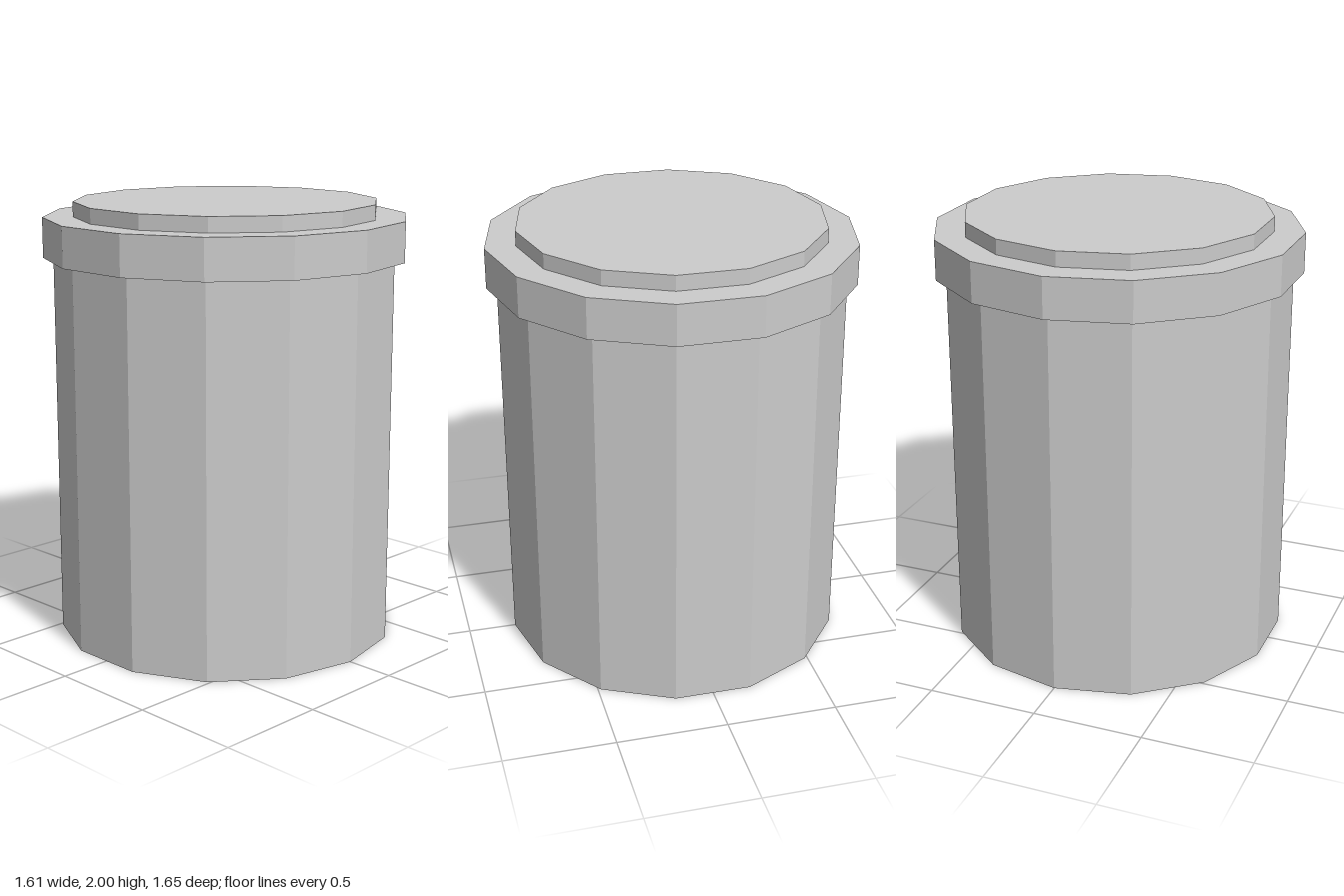
import * as THREE from 'three';

const SIDES = 14;

export function createModel() {
  const group = new THREE.Group();
  group.name = 'liddedCanister';
  const material = new THREE.MeshStandardMaterial({ color: 0xcccccc, flatShading: true });

  // Faceted drum between two heights, with a corner pointing to the front
  const addDrum = (name, radius, bottom, top) => {
    const geometry = new THREE.CylinderGeometry(radius, radius, top - bottom, SIDES);
    const mesh = new THREE.Mesh(geometry, material);
    mesh.name = name;
    mesh.position.y = (bottom + top) / 2;
    group.add(mesh);
  };

  addDrum('body', 0.781, 0, 1.75);
  addDrum('lidRim', 0.827, 1.75, 1.932);
  addDrum('lidTop', 0.69, 1.932, 2);

  return group;
}
